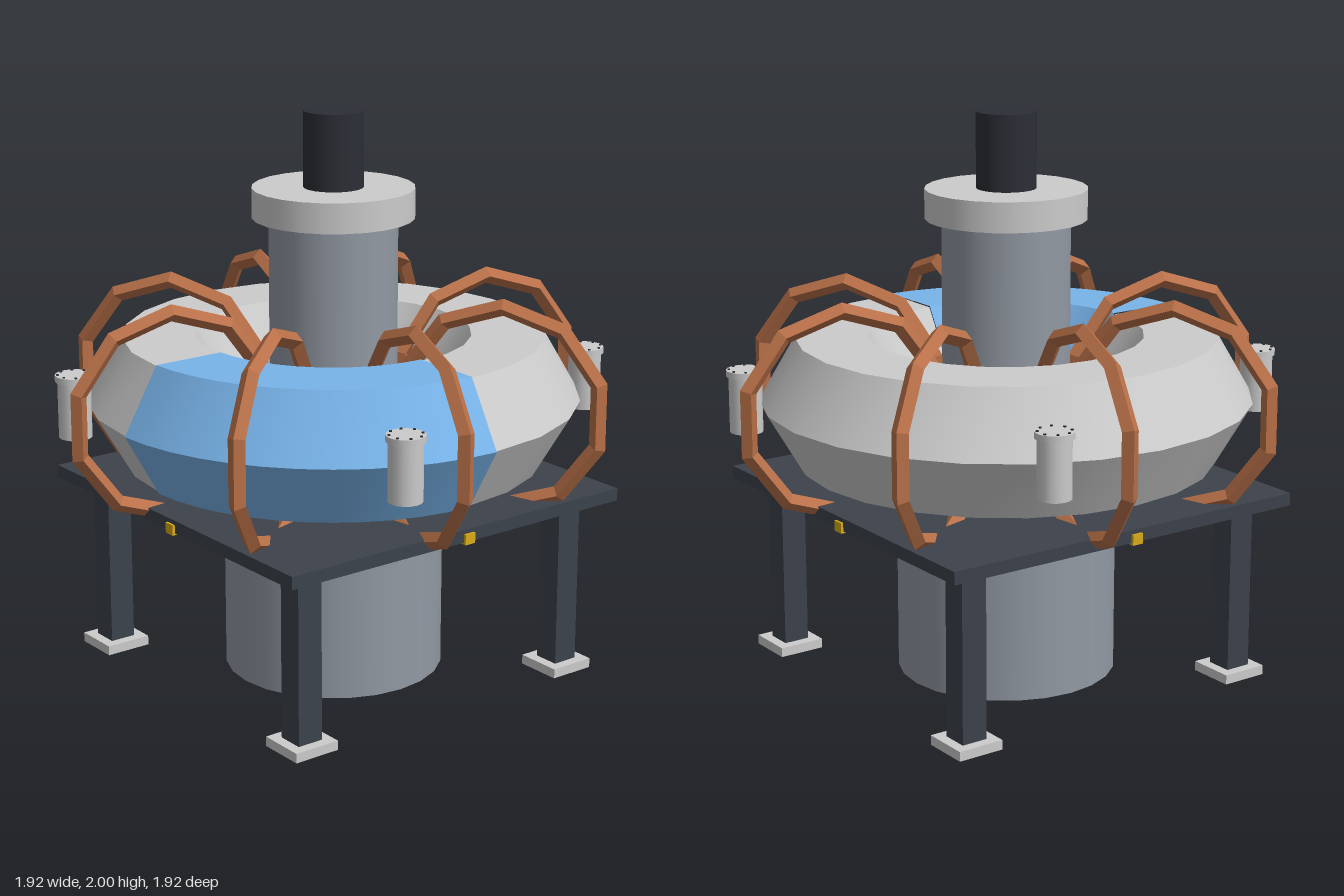
import * as THREE from 'three';
import { toCreasedNormals } from 'three/addons/utils/BufferGeometryUtils.js';

const material = (color, flat = false) => new THREE.MeshStandardMaterial({ color, flatShading: flat });
const grey = material(0xcccccc);
const slate = material(0x9299a3);
const dark = material(0x3c424b);
const black = material(0x2b2e35);
const blue = material(0x78b4ea);
const copper = material(0xb87048, true);
const yellow = material(0xd9ab18);

function add(parent, name, geometry, mat, x = 0, y = 0, z = 0) {
  const mesh = new THREE.Mesh(geometry, mat);
  mesh.name = name;
  mesh.position.set(x, y, z);
  parent.add(mesh);
  return mesh;
}

// Upright cylinder between two heights
function pillar(parent, name, radius, y0, y1, mat, x = 0, z = 0, sides = 24) {
  return add(parent, name, new THREE.CylinderGeometry(radius, radius, y1 - y0, sides), mat, x, (y0 + y1) / 2, z);
}

// Box between two heights
function block(parent, name, w, y0, y1, d, mat, x = 0, z = 0) {
  return add(parent, name, new THREE.BoxGeometry(w, y1 - y0, d), mat, x, (y0 + y1) / 2, z);
}

// Part of the six-sided ring vessel, swept from +x towards +z
function vesselPart(parent, name, tube, segments, start, arc, mat) {
  const g = new THREE.TorusGeometry(0.61, tube, 6, segments, arc);
  g.rotateZ(start);
  g.rotateX(Math.PI / 2);
  add(parent, name, toCreasedNormals(g, Math.PI / 6), mat, 0, 1, 0);
}

// Arm turned about the vertical axis, from +x towards +z
function arm(parent, name, angle) {
  const g = new THREE.Group();
  g.name = name;
  g.rotation.y = -angle;
  parent.add(g);
  return g;
}

export function createModel() {
  const model = new THREE.Group();
  model.name = 'ringReactor';
  const deg = THREE.MathUtils.degToRad;

  // Central stack
  pillar(model, 'baseDrum', 0.39, 0, 0.66, slate);
  pillar(model, 'centralColumn', 0.225, 0.66, 1.64, slate);
  pillar(model, 'columnFlange', 0.283, 1.63, 1.735, grey);
  pillar(model, 'topRod', 0.105, 1.73, 2, black);

  // Ring vessel with one coloured quarter
  vesselPart(model, 'vesselShell', 0.255, 18, Math.PI / 2, Math.PI * 1.5, grey);
  vesselPart(model, 'vesselWindow', 0.26, 12, 0, Math.PI / 2, blue);

  // Coils looped around the vessel
  for (let i = 0; i < 8; i++) {
    const g = arm(model, 'coil', deg(11.25 + 45 * i));
    const ring = new THREE.TorusGeometry(0.357, 0.03, 4, 10);
    ring.rotateZ(Math.PI / 2);
    add(g, 'coilLoop', ring, copper, 0.61, 1, 0);
  }

  // Bolted ports around the outside
  for (let i = 0; i < 4; i++) {
    const g = arm(model, 'port', deg(23 + 91.5 * i));
    pillar(g, 'portBody', 0.058, 0.9, 1.105, grey, 0.912, 0, 16);
    pillar(g, 'portCap', 0.066, 1.1, 1.122, grey, 0.912, 0, 16);
    for (let b = 0; b < 8; b++) {
      const a = (b * Math.PI) / 4;
      pillar(g, 'portBolt', 0.005, 1.12, 1.126, black, 0.912 + 0.056 * Math.cos(a), 0.056 * Math.sin(a), 6);
    }
  }

  // Platform
  block(model, 'platform', 1.42, 0.64, 0.685, 1.42, dark);

  // Legs with foot plates
  for (const x of [-0.57, 0.57]) {
    for (const z of [-0.57, 0.57]) {
      block(model, 'leg', 0.095, 0, 0.65, 0.095, dark, x, z);
      block(model, 'footPlate', 0.17, 0.004, 0.038, 0.17, grey, x, z);
    }
  }

  // Yellow markers at the edge centres and strips on the underside
  for (let i = 0; i < 4; i++) {
    const g = arm(model, 'safetyMarkers', (i * Math.PI) / 2);
    block(g, 'edgeMarker', 0.03, 0.633, 0.67, 0.042, yellow, 0.704, -0.025);
    for (const a of [30, 60]) {
      const s = arm(g, 'undersideMarker', deg(a));
      block(s, 'undersideStrip', 0.008, 0.636, 0.645, 0.12, yellow, 0.71);
    }
  }
  return model;
}
